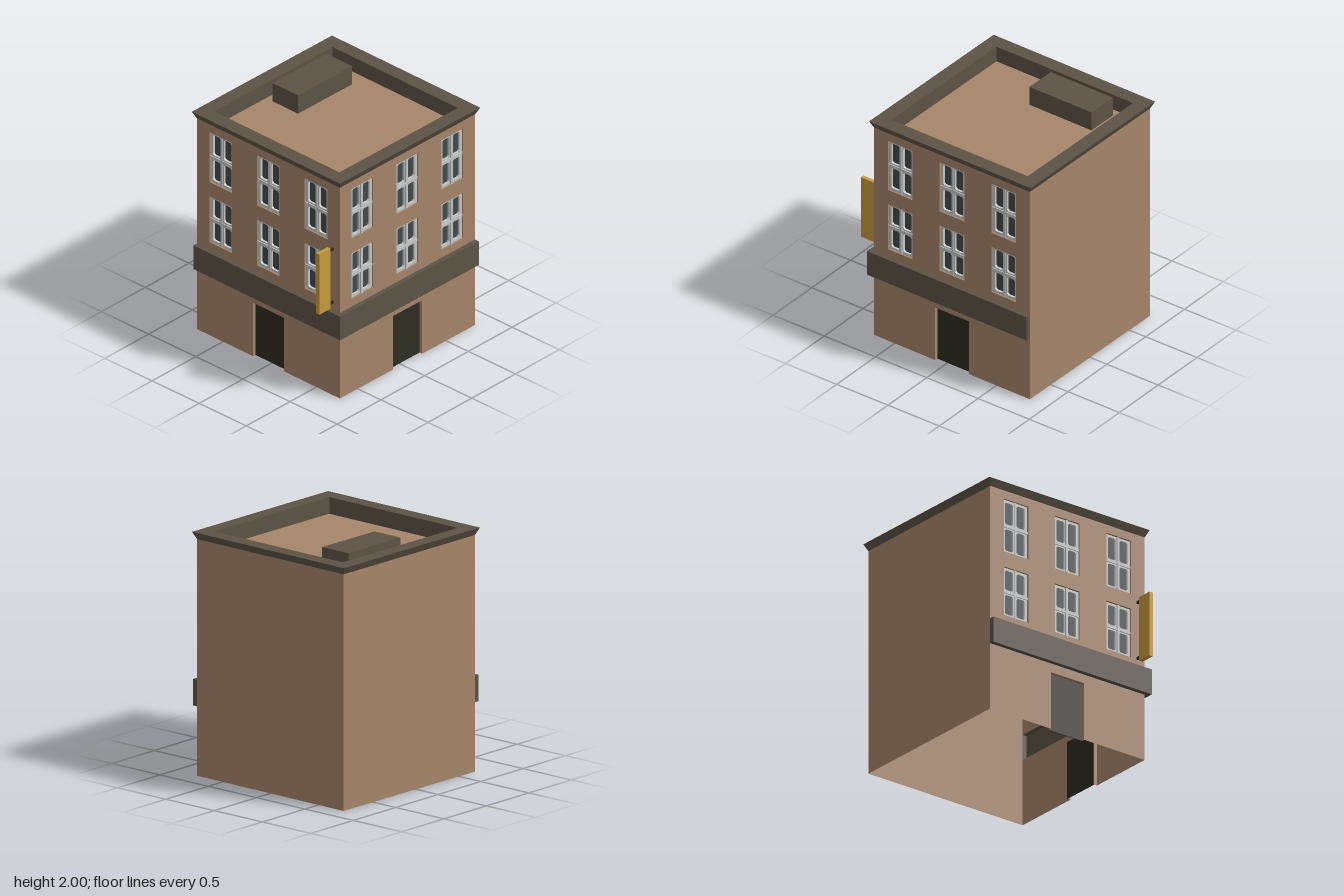
import * as THREE from 'three';

const mat = (name, color) => {
  const m = new THREE.MeshStandardMaterial({ color, side: THREE.DoubleSide });
  m.name = name;
  return m;
};
const H = 0.765;       // half width of the building
const BAND = [0.56, 0.775];
const EAVES = 1.91;
const ROOF = 1.835;

// Flat-shaded surface through rows of points
function loft(rows) {
  const n = rows[0].length, index = [];
  for (let r = 0; r < rows.length - 1; r++)
    for (let i = 0; i < n - 1; i++) {
      const a = r * n + i, b = a + 1, c = a + n, d = c + 1;
      index.push(a, c, b, b, c, d);
    }
  const g = new THREE.BufferGeometry();
  g.setAttribute('position', new THREE.Float32BufferAttribute(rows.flat(2), 3));
  g.setIndex(index);
  const flat = g.toNonIndexed();
  flat.computeVertexNormals();
  return flat;
}

function add(parent, name, geometry, material, x = 0, y = 0, z = 0) {
  const mesh = new THREE.Mesh(geometry, material);
  mesh.name = name;
  mesh.position.set(x, y, z);
  parent.add(mesh);
  return mesh;
}

const box = (w, h, d) => new THREE.BoxGeometry(w, h, d);

const vec = (pts) => pts.map(([x, y]) => new THREE.Vector2(x, y));
const rect = (x, y, w, h) => [[x - w / 2, y], [x + w / 2, y], [x + w / 2, y + h], [x - w / 2, y + h]];

// Rectangle with clipped corners, used for the panes
function clipped(cx, cy, w, h, c) {
  const a = w / 2, b = h / 2;
  return [[-a + c, -b], [a - c, -b], [a, -b + c], [a, b - c], [a - c, b], [-a + c, b], [-a, b - c], [-a, -b + c]]
    .map(([x, y]) => [cx + x, cy + y]);
}

// Sides of an opening, running back from the wall face
const reveal = (pts, depth) => loft([0, -depth].map((z) => pts.map(([x, y]) => [x, y, z])));

export function createModel() {
  const wall = mat('tan wall', 0xa6866a);
  const trim = mat('dark brown trim', 0x5c5345);
  const frame = mat('light grey frame', 0xc6c8c8);
  const glass = mat('dark glass', 0x434a4c);
  const doorMat = mat('dark door', 0x2e2d22);
  const gold = mat('gold sign', 0xc79b3c);
  const iron = mat('black iron', 0x302e2a);

  const model = new THREE.Group();
  model.name = 'cornerBuilding';
  const b = new THREE.Group();
  b.name = 'building';
  b.position.set(-0.006, 0, -0.071);
  b.rotation.y = -0.0095;
  model.add(b);

  // Window with four panes, its sill at y = 0
  function makeWindow(w, h) {
    const g = new THREE.Group();
    g.name = 'window';
    const shape = new THREE.Shape(vec(rect(0, 0, w, h)));
    for (const sx of [-1, 1])
      for (const sy of [-1, 1])
        shape.holes.push(new THREE.Path(vec(
          clipped(sx * 0.058, h / 2 + sy * (h / 4 + 0.001), 0.079, h / 2 - 0.043, 0.012))));
    add(g, 'windowFrame', new THREE.ExtrudeGeometry(shape, { depth: 0.022, bevelEnabled: false }), frame, 0, 0, -0.037);
    add(g, 'windowGlass', box(w, h, 0.006), glass, 0, h / 2, -0.038);
    add(g, 'windowPost', box(0.02, h, 0.012), frame, 0, h / 2, -0.012);
    add(g, 'windowRail', box(w, 0.022, 0.01), frame, 0, h / 2, -0.012);
    const r = rect(0, 0, w, h);
    add(g, 'windowReveal', reveal([...r, r[0]], 0.04), wall);
    return g;
  }

  // Street wall with a door and two rows of windows
  function makeFacade(name) {
    const g = new THREE.Group();
    g.name = name;
    const dw = 0.165, dh = 0.485;
    const door = [[-dw, 0], [-dw, dh], [dw, dh], [dw, 0]];
    const lower = new THREE.Shape(vec([[-H, 0], ...door, [H, 0], [H, BAND[0]], [-H, BAND[0]]]));
    add(g, 'lowerWall', new THREE.ShapeGeometry(lower), wall);
    add(g, 'doorReveal', reveal(door, 0.03), wall);
    add(g, 'door', box(dw * 2, dh, 0.006), doorMat, 0, dh / 2, -0.03);

    const upper = new THREE.Shape(vec(rect(0, BAND[1], 2 * H, EAVES - BAND[1])));
    for (const [y, h] of [[0.843, 0.415], [1.388, 0.452]])
      for (const x of [-0.509, 0, 0.509]) {
        upper.holes.push(new THREE.Path(vec(rect(x, y, 0.243, h))));
        const win = makeWindow(0.243, h);
        win.position.set(x, y, 0);
        g.add(win);
      }
    add(g, 'upperWall', new THREE.ShapeGeometry(upper), wall);
    return g;
  }

  const front = makeFacade('frontFacade');
  front.position.z = H;
  const side = makeFacade('sideFacade');
  side.rotation.y = Math.PI / 2;
  side.position.x = H;
  b.add(front, side);

  // Plain rear walls
  const plain = new THREE.PlaneGeometry(2 * H, EAVES);
  add(b, 'backWall', plain, wall, 0, EAVES / 2, -H).rotation.y = Math.PI;
  add(b, 'leftWall', plain, wall, -H, EAVES / 2, 0).rotation.y = -Math.PI / 2;

  // Hollow band wrapping the street corner, folded shut at both ends
  const out = 0.805;
  const profile = [[H, BAND[0]], [out, BAND[0]], [out, BAND[1]], [H, BAND[1]]];
  const ends = [
    profile.map(([, y]) => [-H, y, H]),
    profile.map(([r, y]) => [-H, y, r]),
    profile.map(([r, y]) => [r, y, r]),
    profile.map(([r, y]) => [r, y, -H]),
    profile.map(([, y]) => [H, y, -H]),
  ];
  add(b, 'shopBand', loft(ends), trim);

  // Flared cornice and parapet
  const cornice = [[H, EAVES], [0.793, 1.97], [0.67, 1.97], [0.67, ROOF]];
  const corners = [[1, 1], [1, -1], [-1, -1], [-1, 1], [1, 1]];
  add(b, 'cornice', loft(corners.map(([sx, sz]) => cornice.map(([r, y]) => [sx * r, y, sz * r]))), trim);

  // Roof deck and rooftop unit
  add(b, 'roofDeck', new THREE.PlaneGeometry(1.34, 1.34), wall, 0, ROOF, 0).rotation.x = -Math.PI / 2;
  add(b, 'rooftopUnit', box(0.273, 2 - ROOF, 0.61), trim, -0.464, (2 + ROOF) / 2, -0.222);

  // Hanging sign on two brackets
  const sign = new THREE.Group();
  sign.name = 'hangingSign';
  sign.position.set(0.692, 1.083, 0.874);
  b.add(sign);
  add(sign, 'signBoard', box(0.034, 0.545, 0.128), gold);
  for (const y of [-0.235, 0.245])
    add(sign, 'signBracket', box(0.018, 0.02, 0.06), iron, 0, y, -0.085);

  return model;
}
